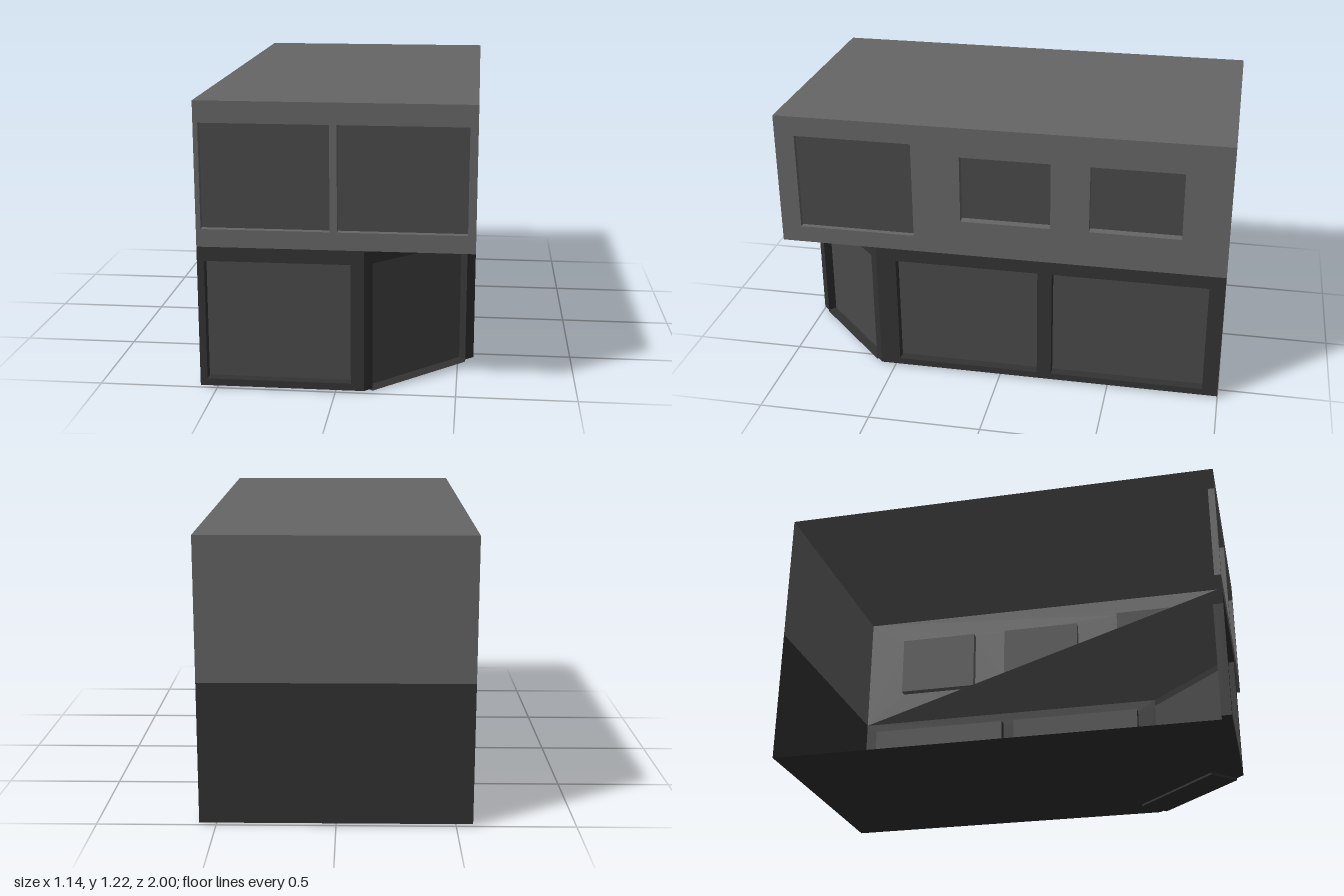
import * as THREE from 'three';

const material = (color) => new THREE.MeshStandardMaterial({ color, side: THREE.DoubleSide, flatShading: true });

const W = 0.57, D = 1, BASE = 0.01, MID = 0.615, TOP = 1.22;

export function createModel() {
  const model = new THREE.Group();
  const upperMat = material(0x666666), lowerMat = material(0x333333), paneMat = material(0x4a4a4a);

  const add = (parent, name, geometry, mat) => {
    const mesh = new THREE.Mesh(geometry, mat);
    mesh.name = name;
    parent.add(mesh);
    return mesh;
  };
  const points = (list) => list.map(([x, y]) => new THREE.Vector2(x, y));
  const rect = (a, b, c, d) => [[a, c], [b, c], [b, d], [a, d]];

  // Four inward-facing sides of a window recess
  function revealGeometry(corners, depth) {
    const pos = [], index = [];
    corners.forEach(([u, v], i) => {
      const [u2, v2] = corners[(i + 1) % 4];
      pos.push(u, v, 0, u2, v2, 0, u2, v2, -depth, u, v, -depth);
      const k = i * 4;
      index.push(k, k + 1, k + 2, k, k + 2, k + 3);
    });
    const g = new THREE.BufferGeometry();
    g.setAttribute('position', new THREE.Float32BufferAttribute(pos, 3));
    g.setIndex(index);
    g.computeVertexNormals();
    return g;
  }

  // Recessed pane with its reveal; opening = [u0, u1, v0, v1, depth]
  function addWindow(parent, [a, b, c, d, depth], mat) {
    add(parent, 'windowReveal', revealGeometry(rect(a, b, c, d), depth), mat);
    add(parent, 'windowPane', new THREE.PlaneGeometry(b - a, d - c), paneMat)
      .position.set((a + b) / 2, (c + d) / 2, -depth);
  }

  // Thin wall facing local +z, pierced by windows
  function wall(name, outline, openings, mat, position, turn) {
    const group = new THREE.Group();
    group.name = name;
    const shape = new THREE.Shape(points(outline));
    for (const [a, b, c, d] of openings) shape.holes.push(new THREE.Path(points(rect(a, b, c, d))));
    add(group, name + 'Face', new THREE.ShapeGeometry(shape), mat);
    openings.forEach((o) => addWindow(group, o, mat));
    group.position.set(...position);
    group.rotation.y = turn;
    model.add(group);
    return group;
  }

  // Flat level surface from [x, z] corners
  function level(name, corners, y, mat) {
    const g = new THREE.ShapeGeometry(new THREE.Shape(points(corners.map(([x, z]) => [x, -z]))));
    add(model, name, g.rotateX(-Math.PI / 2), mat).position.y = y;
  }

  // Upper storey: front, right side and back; the other side stays open
  wall('upperFrontWall', rect(-W, W, MID, TOP), [
    [-0.55, -0.02, 0.69, 1.13, 0.03],
    [0.01, 0.537, 0.69, 1.13, 0.03],
  ], upperMat, [0, 0, D], 0);
  wall('upperSideWall', rect(-D, D, MID, TOP), [
    [-0.91, -0.385, 0.69, 1.13, 0.025],
    [-0.17, 0.23, 0.78, 1.085, 0.04],
    [0.40, 0.80, 0.78, 1.085, 0.04],
  ], upperMat, [W, 0, 0], Math.PI / 2);
  wall('upperBackWall', rect(-W, W, MID, TOP), [], upperMat, [0, 0, -D], Math.PI);

  // Lower storey, with its front corner cut off
  const cutX = 0.12, cutZ = 0.565;
  wall('lowerFrontWall', rect(-W, cutX, BASE, MID), [
    [-0.54, 0.065, 0.04, 0.555, 0.045],
  ], lowerMat, [0, 0, D], 0);
  wall('lowerSideWall', rect(-cutZ, D, BASE, MID), [
    [-0.475, 0.175, 0.04, 0.555, 0.045],
    [0.24, 0.93, 0.04, 0.555, 0.045],
  ], lowerMat, [W, 0, 0], Math.PI / 2);
  wall('lowerBackWall', rect(-W, W, BASE, MID), [], lowerMat, [0, 0, -D], Math.PI);

  // Diagonal entrance wall with a doorway open to the ground
  const run = Math.hypot(W - cutX, D - cutZ);
  const d0 = 0.045, d1 = run - 0.05, head = 0.555;
  const entrance = wall('entranceWall', [
    [0, BASE], [d0, BASE], [d0, head], [d1, head], [d1, BASE], [run, BASE], [run, MID], [0, MID],
  ], [], lowerMat, [cutX, 0, D], Math.atan2(D - cutZ, W - cutX));
  addWindow(entrance, [d0, d1, 0, head, 0.04], lowerMat);
  add(entrance, 'threshold', new THREE.BoxGeometry(d1 - d0, BASE, 0.11), lowerMat)
    .position.set((d0 + d1) / 2, BASE / 2, -0.095);

  // Roof, half-width intermediate floor and ground floor
  level('roof', [[-W, D], [W, D], [W, -D], [-W, -D]], TOP, upperMat);
  level('upperFloor', [[-W, D], [W, D], [W, -D]], MID, upperMat);
  level('groundFloor', [[-W, D], [cutX, D], [W, cutZ], [W, -D], [-W, -D]], BASE, lowerMat);

  return model;
}
